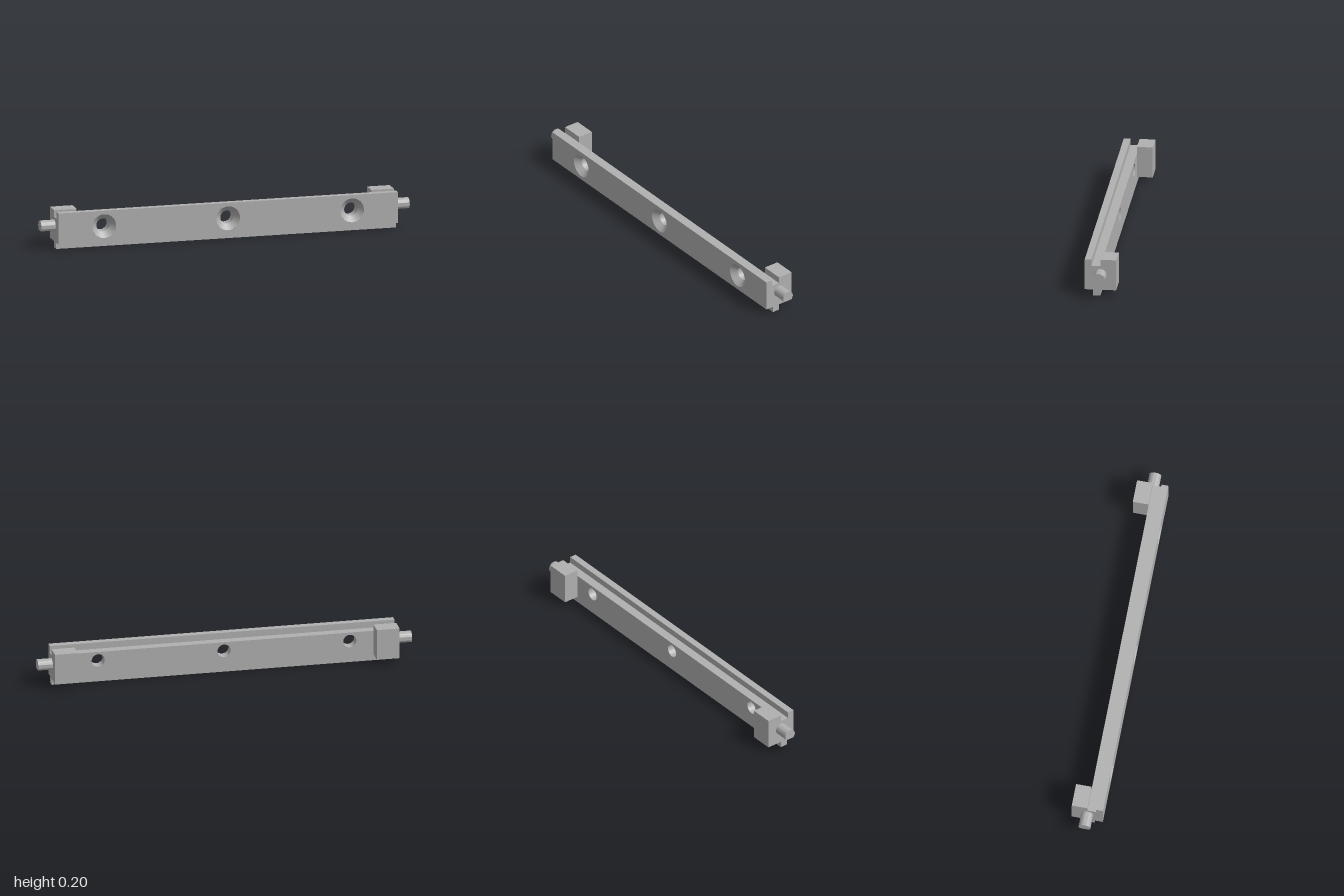
import * as THREE from 'three';
import { toCreasedNormals } from 'three/addons/utils/BufferGeometryUtils.js';

const L = 0.922;          // half length of the bar
const FRONT = 0.083;      // front face of the bar (its back face is z = 0)
const BOTTOM = 0.033, STEP = 0.165, TOP = 0.2;
const AXIS = 0.117;       // height of holes and pins
const HOLE_X = [-0.673, 0, 0.673];
const HOLE_R = 0.035, SINK_R = 0.064, SINK_Z = 0.053;
const SEGS = 48;

// Bar cross-section as [z, y]: underside with tongue, then topside with step
const underside = [[FRONT, BOTTOM], [0.04, BOTTOM], [0.04, 0], [0, 0]];
const topside = [[0, STEP], [0.047, STEP], [0.047, TOP], [FRONT, TOP]];

// Long walls swept along x from an open chain of section points
function sweep(chain) {
  const pos = [];
  for (let i = 0; i < chain.length - 1; i++) {
    const [z0, y0] = chain[i], [z1, y1] = chain[i + 1];
    const a = [-L, y0, z0], b = [L, y0, z0], c = [L, y1, z1], d = [-L, y1, z1];
    pos.push(...a, ...d, ...c, ...a, ...c, ...b);
  }
  const g = new THREE.BufferGeometry();
  g.setAttribute('position', new THREE.Float32BufferAttribute(pos, 3));
  g.computeVertexNormals();
  return g;
}

// Long flat face pierced by the three screw holes
function piercedFace(y0, y1, radius) {
  const s = new THREE.Shape([[-L, y0], [L, y0], [L, y1], [-L, y1]].map(p => new THREE.Vector2(...p)));
  for (const x of HOLE_X) s.holes.push(new THREE.Path().absarc(x, AXIS, radius, 0, Math.PI * 2, true));
  return new THREE.ShapeGeometry(s, SEGS);
}

// Inward-facing wall of a hole running along z
function holeWall(r0, z0, r1, z1) {
  return new THREE.LatheGeometry([new THREE.Vector2(r1, z1), new THREE.Vector2(r0, z0)], SEGS).rotateX(Math.PI / 2);
}

export function createModel() {
  const model = new THREE.Group();
  model.name = 'mountingBar';
  const steel = new THREE.MeshStandardMaterial({ color: 0xb0b0b0 });
  steel.name = 'grey steel';
  const add = (name, geometry, x = 0, y = 0, z = 0) => {
    const m = new THREE.Mesh(geometry, steel);
    m.name = name;
    m.position.set(x, y, z);
    model.add(m);
  };

  // Bar
  add('barUnderside', sweep(underside));
  add('barTopside', sweep(topside));
  add('barFront', piercedFace(BOTTOM, TOP, SINK_R), 0, 0, FRONT);
  add('barBack', piercedFace(0, STEP, HOLE_R).rotateY(Math.PI));

  // Countersunk screw holes
  for (const x of HOLE_X) {
    add('screwHole', holeWall(HOLE_R, 0, HOLE_R, SINK_Z), x, AXIS);
    add('countersink', holeWall(HOLE_R, SINK_Z, SINK_R, FRONT), x, AXIS);
  }

  // Pin section: a circle with a flat on its underside
  const flat = Math.asin(0.022 / 0.0315);
  const pinShape = new THREE.Shape().absarc(0, 0, 0.0315, -flat, Math.PI + flat, false);
  pinShape.closePath();

  // Both ends: cap, back block and pin
  for (const side of [-1, 1]) {
    const cap = new THREE.Shape([...underside, ...topside].map(([z, y]) => new THREE.Vector2(-side * z, y)));
    add('barEnd', new THREE.ShapeGeometry(cap).rotateY(side * Math.PI / 2), side * L);
    add('endBlock', new THREE.BoxGeometry(L - 0.8, TOP - BOTTOM, FRONT),
      side * (L + 0.8) / 2, (TOP + BOTTOM) / 2, -FRONT / 2);
    const pin = new THREE.ExtrudeGeometry(pinShape, { depth: 1 - L, bevelEnabled: false, curveSegments: 40 });
    add('pin', toCreasedNormals(pin, 0.5).rotateY(side * Math.PI / 2), side * L, AXIS);
  }
  return model;
}
